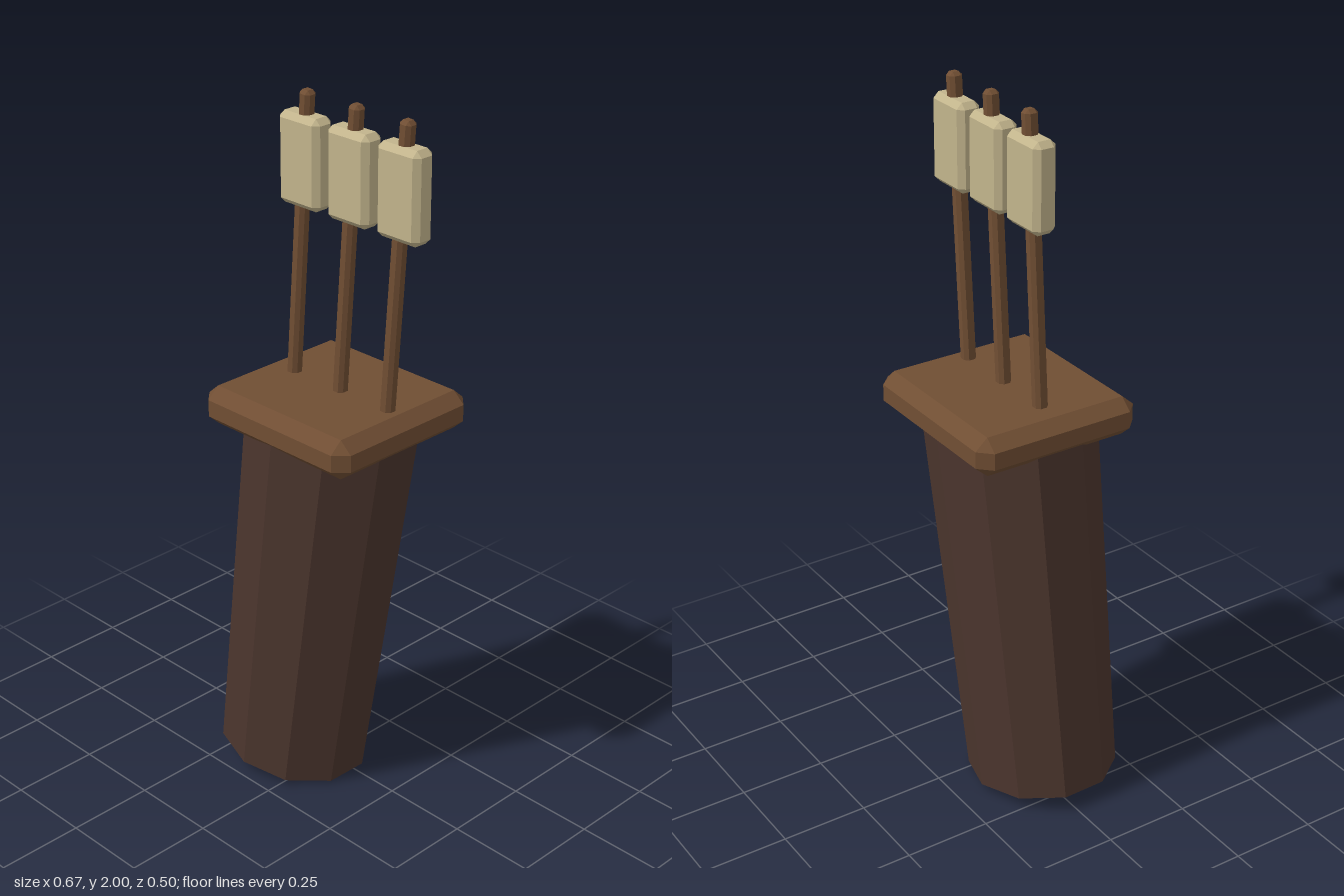
import * as THREE from 'three';
import { ConvexGeometry } from 'three/addons/geometries/ConvexGeometry.js';

// Box with every edge chamfered; b holds the chamfer per axis
function chamferBox(w, h, d, b) {
  const s = [w / 2, h / 2, d / 2];
  const points = [];
  for (let axis = 0; axis < 3; axis++) {
    for (let k = 0; k < 8; k++) {
      const p = s.map((half, i) => (k & (1 << i) ? 1 : -1) * (i === axis ? half : half - b[i]));
      points.push(new THREE.Vector3(...p));
    }
  }
  return new ConvexGeometry(points);
}

export function createModel() {
  const group = new THREE.Group();
  group.name = 'quiver';

  const material = (name, color) => {
    const m = new THREE.MeshStandardMaterial({ color, flatShading: true });
    m.name = name;
    return m;
  };
  const leather = material('darkLeather', 0x4b352d);
  const wood = material('brownWood', 0x704e33);
  const feather = material('paleFeather', 0xc2b48c);

  const add = (parent, name, geometry, mat, x, y, z) => {
    const mesh = new THREE.Mesh(geometry, mat);
    mesh.name = name;
    mesh.position.set(x, y, z);
    parent.add(mesh);
    return mesh;
  };

  // Leaning ten-sided case, pivoted at the centre of its base
  const caseGeometry = new THREE.CylinderGeometry(0.255, 0.227, 1.12, 10);
  caseGeometry.scale(1, 1, 0.91).translate(0, 0.56, 0);
  const body = add(group, 'case', caseGeometry, leather, -0.119, 0.032, 0.028);
  body.rotation.set(-0.0215, 0, -0.125);

  // Level rim block
  add(group, 'rim', chamferBox(0.536, 0.112, 0.498, [0.036, 0.032, 0.036]), wood, 0.02, 1.143, 0);

  // Three arrows: tilted shaft with an upright fletching block
  const shaftGeometry = chamferBox(0.038, 0.9, 0.038, [0.01, 0.01, 0.01]);
  const fletchGeometry = chamferBox(0.146, 0.249, 0.069, [0.016, 0.016, 0.016]);
  for (let i = 0; i < 3; i++) {
    const arrow = new THREE.Group();
    arrow.name = 'arrow' + (i + 1);
    arrow.position.x = i * 0.175;
    const shaft = add(arrow, 'shaft', shaftGeometry, wood, -0.113, 1.55, 0);
    shaft.rotation.z = -0.07;
    add(arrow, 'fletching', fletchGeometry, feather, -0.091, 1.81, 0);
    group.add(arrow);
  }

  return group;
}
